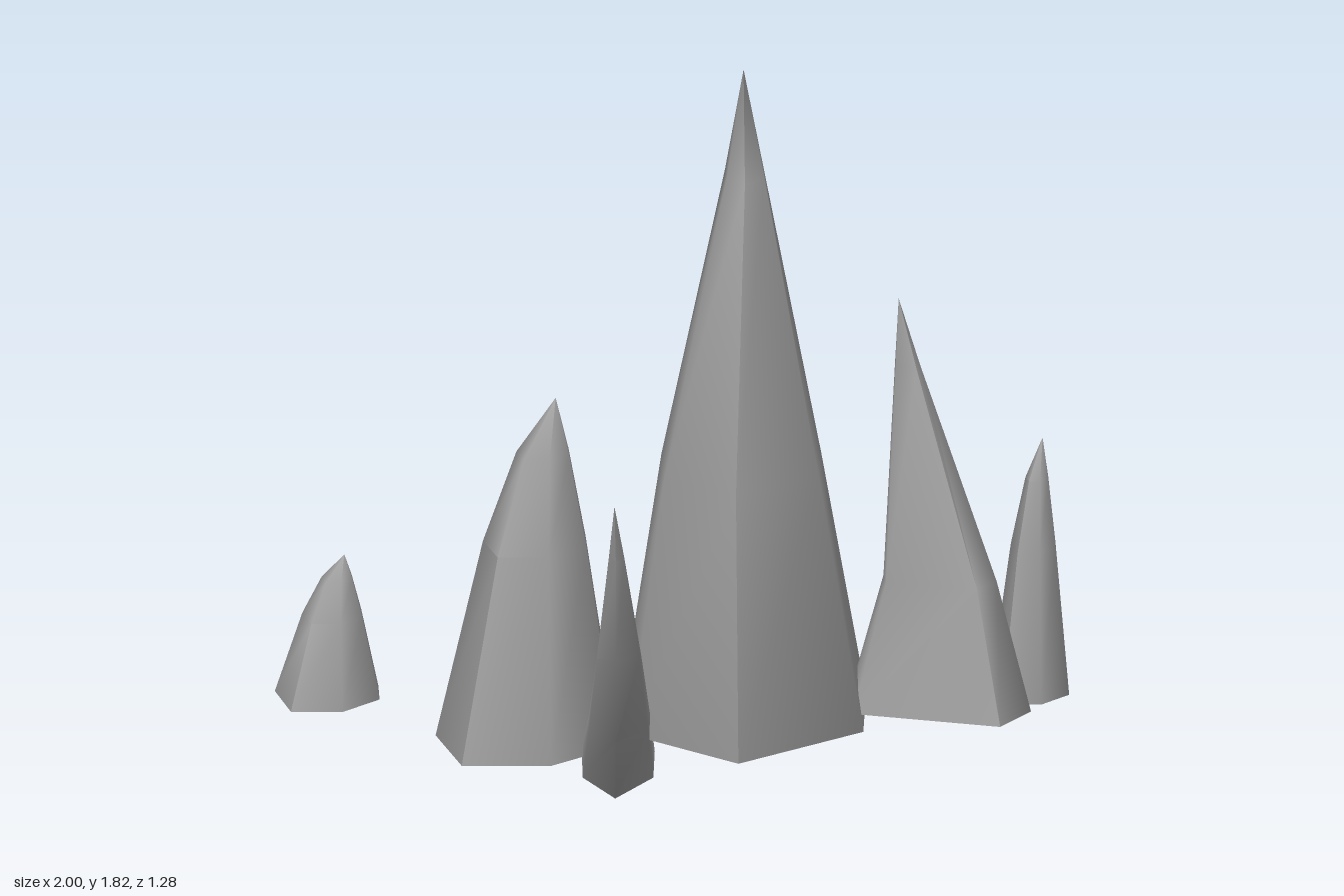
import * as THREE from 'three';
import { toCreasedNormals } from 'three/addons/utils/BufferGeometryUtils.js';

const { lerp } = THREE.MathUtils;

// Six-sided outlines [x, z] in a unit square, running from the back to the right, front and left
const pointedOutline = [[0.57, 0], [1, 0.33], [0.94, 0.71], [0.4, 1], [0, 0.69], [0.03, 0.28]];
const skewedOutline = [[0.35, 0], [1, 0.2], [0.97, 0.63], [0.58, 1], [0.09, 0.96], [0, 0.3]];
const wedgeOutline = [[0.18, 0.08], [0.71, 0], [1, 0.72], [0.8, 1], [0, 0.7], [0, 0.4]];

// Fits the outline into rings [y, xMin, xMax, zMin, zMax, slope of y along z]
// and joins the last ring to the tip; the base stays open
function shard(name, material, outline, rings, tip) {
  const n = outline.length;
  const pos = [];
  for (const [y, x0, x1, z0, z1, slope = 0] of rings) {
    for (const [u, v] of outline) {
      pos.push(lerp(x0, x1, u), y + slope * (v - 0.5) * (z1 - z0), lerp(z0, z1, v));
    }
  }
  pos.push(...tip);

  const index = [];
  const top = (rings.length - 1) * n;
  for (let i = 0; i < n; i++) {
    const j = (i + 1) % n;
    for (let r = 0; r < top; r += n) {
      index.push(r + i, r + n + i, r + j, r + j, r + n + i, r + n + j);
    }
    index.push(top + i, top + n, top + j);
  }
  const geometry = new THREE.BufferGeometry();
  geometry.setAttribute('position', new THREE.Float32BufferAttribute(pos, 3));
  geometry.setIndex(index);
  const mesh = new THREE.Mesh(toCreasedNormals(geometry, 1.3), material);
  mesh.name = name;
  return mesh;
}

// Blunt shard of fixed proportions, filling the given bounds
function bluntShard(name, material, [x0, x1], [y0, y1], [z0, z1]) {
  const ring = (h, a, b, c, d) =>
    [lerp(y0, y1, h), lerp(x0, x1, a), lerp(x0, x1, b), lerp(z0, z1, c), lerp(z0, z1, d)];
  const rings = [
    ring(0, 0, 1, 0, 1),
    ring(0.58, 0.25, 0.82, 0.27, 0.82),
    ring(0.845, 0.43, 0.72, 0.41, 0.68),
  ];
  return shard(name, material, skewedOutline, rings, [lerp(x0, x1, 0.645), y1, lerp(z0, z1, 0.505)]);
}

export function createModel() {
  const group = new THREE.Group();
  group.name = 'crystalCluster';
  const material = new THREE.MeshStandardMaterial({ color: 0xa0a0a0, side: THREE.DoubleSide });

  // Tall centre shard with an upright back edge
  group.add(shard('mainShard', material, pointedOutline, [
    [0.17, -0.16, 0.47, -0.53, 0.48],
    [0.87, -0.08, 0.335, -0.13, 0.48],
    [1.58, 0.1, 0.2, -0.138, 0.09],
  ], [0.155, 1.82, -0.14]));

  // Thin shard leaning to the front, its base square to the lean
  group.add(shard('leaningShard', material, pointedOutline, [
    [0.058, -0.27, -0.08, -0.1, 0.155, -0.45],
    [0.22, -0.27, -0.11, 0.17, 0.31, -0.45],
    [0.445, -0.265, -0.15, 0.4, 0.48],
    [0.74, -0.245, -0.205, 0.56, 0.61],
  ], [-0.235, 0.89, 0.64]));

  // Flared shard on the right of the centre
  group.add(shard('flaredShard', material, wedgeOutline, [
    [0.205, 0.41, 0.86, -0.23, 0.3],
    [0.54, 0.495, 0.775, -0.07, 0.205],
    [1.08, 0.528, 0.59, -0.045, 0.05],
  ], [0.54, 1.24, -0.04]));

  // Blunt shards around the back
  group.add(
    bluntShard('bluntShardLarge', material, [-0.62, -0.16], [0.08, 0.98], [-0.35, 0.12]),
    bluntShard('bluntShardNarrow', material, [0.8, 1], [0.125, 0.79], [-0.47, -0.22]),
    bluntShard('bluntShardSmall', material, [-1, -0.735], [0.115, 0.485], [-0.645, -0.325]),
  );
  return group;
}
